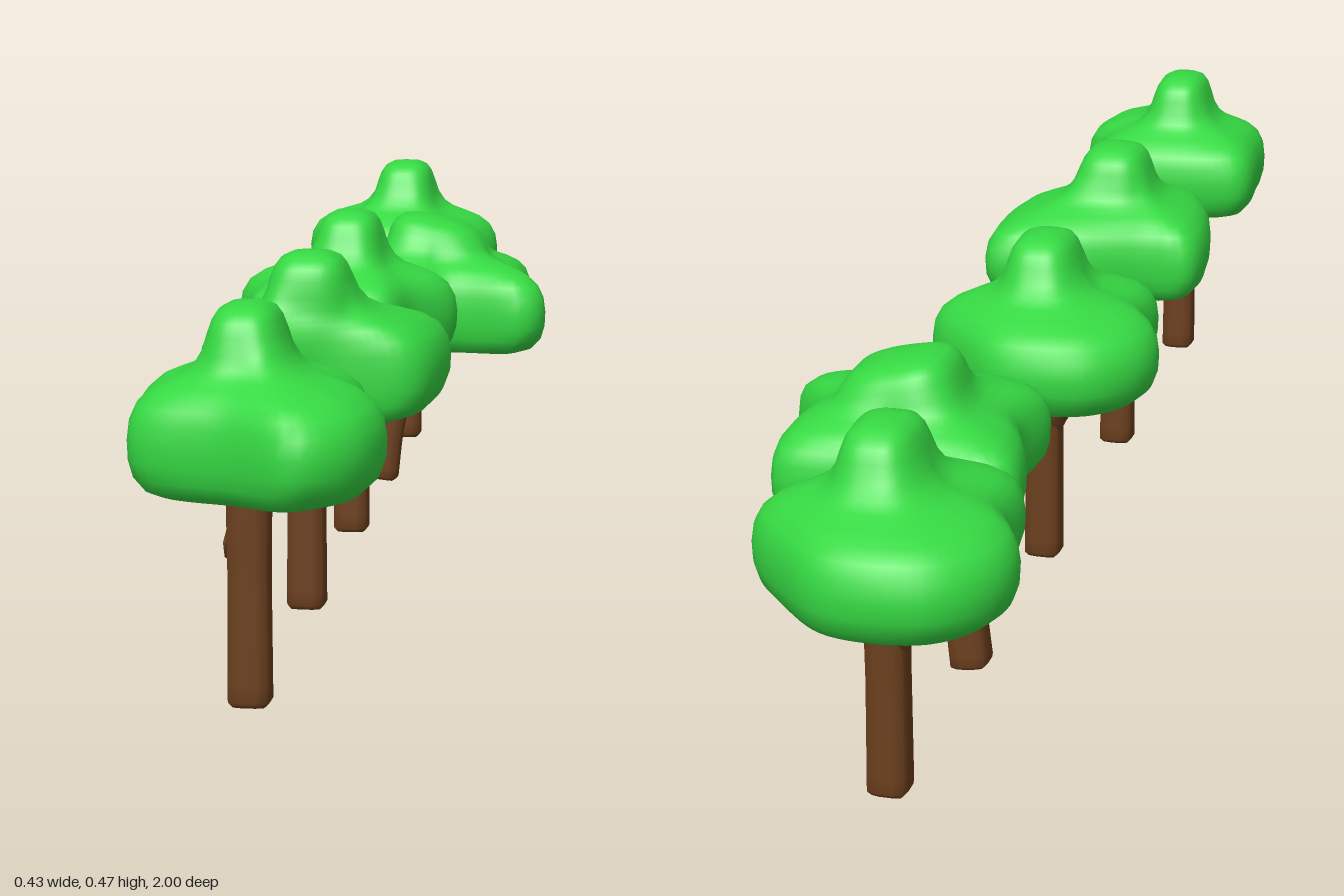
import * as THREE from 'three';
import { RoundedBoxGeometry } from 'three/addons/geometries/RoundedBoxGeometry.js';

const leafMat = new THREE.MeshStandardMaterial({ color: 0x36d943 });
const barkMat = new THREE.MeshStandardMaterial({ color: 0x6b3f1d });
const V = (x, y, z) => new THREE.Vector3(x, y, z);

// Skin a stack of closed rings, closing both ends with a centre point
function loft(rings) {
  const n = rings[0].length;
  const pos = [];
  const idx = [];
  rings.forEach(r => r.forEach(p => pos.push(p.x, p.y, p.z)));
  for (let i = 0; i < rings.length - 1; i++) {
    for (let j = 0; j < n; j++) {
      const a = i * n + j, b = i * n + (j + 1) % n;
      idx.push(a, b, b + n, a, b + n, a + n);
    }
  }
  [0, rings.length - 1].forEach((i, top) => {
    const c = rings[i].reduce((s, p) => s.add(p), V(0, 0, 0)).divideScalar(n);
    const k = pos.length / 3;
    pos.push(c.x, c.y, c.z);
    for (let j = 0; j < n; j++) {
      const a = i * n + j, b = i * n + (j + 1) % n;
      if (top) idx.push(a, b, k); else idx.push(b, a, k);
    }
  });
  const g = new THREE.BufferGeometry();
  g.setAttribute('position', new THREE.Float32BufferAttribute(pos, 3));
  g.setIndex(idx);
  g.computeVertexNormals();
  return g;
}

// Squarish radius of a superellipse in direction (c, s)
const squareRadius = (c, s, w, d, e = 4) =>
  Math.pow(Math.pow(Math.abs(c / w), e) + Math.pow(Math.abs(s / d), e), -1 / e);

// Square-section limb along a path; sizes holds half widths from start to end
function limb(name, points, sizes, sides = 16) {
  const curve = new THREE.CatmullRomCurve3(points);
  const steps = 12;
  const rings = [];
  for (let i = 0; i <= steps; i++) {
    const t = i / steps;
    const p = curve.getPoint(t), d = curve.getTangent(t);
    const u = V(1, 0, 0).addScaledVector(d, -d.x).normalize();
    const v = d.clone().cross(u);
    const f = t * (sizes.length - 1), k = Math.min(Math.floor(f), sizes.length - 2);
    const size = THREE.MathUtils.lerp(sizes[k], sizes[k + 1], f - k);
    rings.push(Array.from({ length: sides }, (_, j) => {
      const a = j / sides * Math.PI * 2, c = Math.cos(a), s = Math.sin(a);
      const r = squareRadius(c, s, size, size, 6);
      return p.clone().addScaledVector(u, c * r).addScaledVector(v, s * r);
    }));
  }
  // narrow bevelled foot
  const base = rings[0].map(p => p.clone().lerp(points[0], 0.2));
  rings[0].forEach((p, j) => p.lerp(rings[1][j], 0.25));
  rings.unshift(base);
  const m = new THREE.Mesh(loft(rings), barkMat);
  m.name = name;
  return m;
}

// Height, spread from crown knob (0) to full outline (1), knob scale
const crownProfile = [
  [0.255, 0.3, 0.5], [0.256, 0.62, 1], [0.263, 0.8, 1], [0.278, 0.93, 1], [0.298, 0.99, 1],
  [0.32, 1, 1], [0.342, 0.97, 1], [0.36, 0.88, 1], [0.373, 0.72, 1], [0.382, 0.52, 1],
  [0.39, 0.32, 1], [0.4, 0.18, 1], [0.415, 0.08, 1], [0.435, 0.02, 0.98], [0.45, 0, 0.9],
  [0.46, 0, 0.75], [0.466, 0, 0.5], [0.468, 0, 0.2],
];

// Leaf crown: a plan outline blending upward into a rounded knob
function crown({ outline, knob: [kx, kz, kw, kd], lift = 0, slope = 0 }) {
  const pts = outline.map(([x, z]) => V(x, 0, z)).reverse();
  const plan = new THREE.CatmullRomCurve3(pts, true, 'centripetal').getSpacedPoints(72).slice(0, 72);
  const rings = crownProfile.map(([y, t, k]) => plan.map(p => {
    const len = Math.hypot(p.x - kx, p.z - kz);
    const c = (p.x - kx) / len, s = (p.z - kz) / len;
    const r = THREE.MathUtils.lerp(squareRadius(c, s, kw, kd, 3) * k, len, t);
    const x = kx + c * r;
    const droop = slope * Math.max(0, x - kx + kw) * THREE.MathUtils.smoothstep(y, 0.38, 0.45);
    return V(x, y + lift - droop, kz + s * r);
  }));
  const m = new THREE.Mesh(loft(rings), leafMat);
  m.name = 'crown';
  return m;
}

// Crown plans as [x, z]
const broadPlan = [[-0.15, -0.995], [-0.03, -1], [0.035, -0.95], [0.1, -0.857], [0.05, -0.757],
  [0.015, -0.66], [-0.06, -0.667], [-0.175, -0.69], [-0.185, -0.79], [-0.217, -0.86], [-0.206, -0.937]];
const blockPlan = [[-0.18, 0.71], [-0.16, 0.69], [0.063, 0.69], [0.085, 0.78], [0.11, 0.83],
  [0.09, 0.95], [0.03, 0.995], [-0.06, 0.947], [-0.165, 0.91], [-0.18, 0.82]];
const flaredPlan = [[0.11, 0.2], [0.127, 0.29], [0.1, 0.42], [-0.02, 0.44], [-0.14, 0.5],
  [-0.17, 0.45], [-0.18, 0.26], [-0.11, 0.25], [0, 0.215]];
const raggedPlan = [[-0.13, -0.59], [-0.02, -0.6], [0.03, -0.59], [0.07, -0.61], [0.165, -0.605],
  [0.175, -0.5], [0.16, -0.46], [0.212, -0.37], [0.19, -0.325], [0.06, -0.34], [0.01, -0.29],
  [-0.07, -0.28], [-0.116, -0.32], [-0.105, -0.42], [-0.13, -0.5]];

export function createModel() {
  const model = new THREE.Group();
  model.name = 'treeRow';
  const tree = (name, ...parts) => {
    const g = new THREE.Group();
    g.name = name;
    g.add(...parts);
    model.add(g);
  };
  const trunk = z => limb('trunk', [V(-0.05, 0, z), V(-0.05, 0.15, z), V(-0.05, 0.3, z)], [0.025, 0.024, 0.026]);
  // thin branch reaching backward
  const branch = z => limb('branch',
    [V(-0.06, 0.18, z), V(-0.066, 0.205, z - 0.045), V(-0.07, 0.23, z - 0.1), V(-0.07, 0.258, z - 0.145)],
    [0.02, 0.013, 0.008, 0.004], 12);
  // short fork into the crown
  const fork = z => limb('fork',
    [V(-0.055, 0.19, z), V(-0.075, 0.225, z - 0.015), V(-0.11, 0.27, z - 0.03)], [0.018, 0.017, 0.02], 12);

  tree('frontTree', trunk(0.815), branch(0.815),
    crown({ outline: blockPlan, knob: [-0.05, 0.815, 0.042, 0.065] }));

  const tuft = new THREE.Mesh(new RoundedBoxGeometry(0.082, 0.055, 0.074, 4, 0.018), leafMat);
  tuft.name = 'leafTuft';
  tuft.position.set(-0.07, 0.28, 0.167);
  tree('secondTree', trunk(0.357), branch(0.357), tuft,
    crown({ outline: flaredPlan, knob: [-0.042, 0.365, 0.05, 0.062] }));

  // matching trees, the second of them further back
  [['middleTree', 0.73], ['backTree', 0]].forEach(([name, dz]) => tree(name,
    trunk(dz - 0.828), fork(dz - 0.828),
    crown({ outline: broadPlan.map(([x, z]) => [x, z + dz]), knob: [-0.05, dz - 0.825, 0.045, 0.066] })));

  // leaning tree with a ragged crown
  tree('leaningTree',
    limb('trunk', [V(-0.05, 0, -0.473), V(-0.04, 0.08, -0.473), V(-0.018, 0.17, -0.473), V(0.01, 0.26, -0.473)],
      [0.025, 0.024, 0.025]),
    crown({ outline: raggedPlan, knob: [0.04, -0.47, 0.075, 0.075], lift: -0.036, slope: 0.22 }));

  return model;
}
